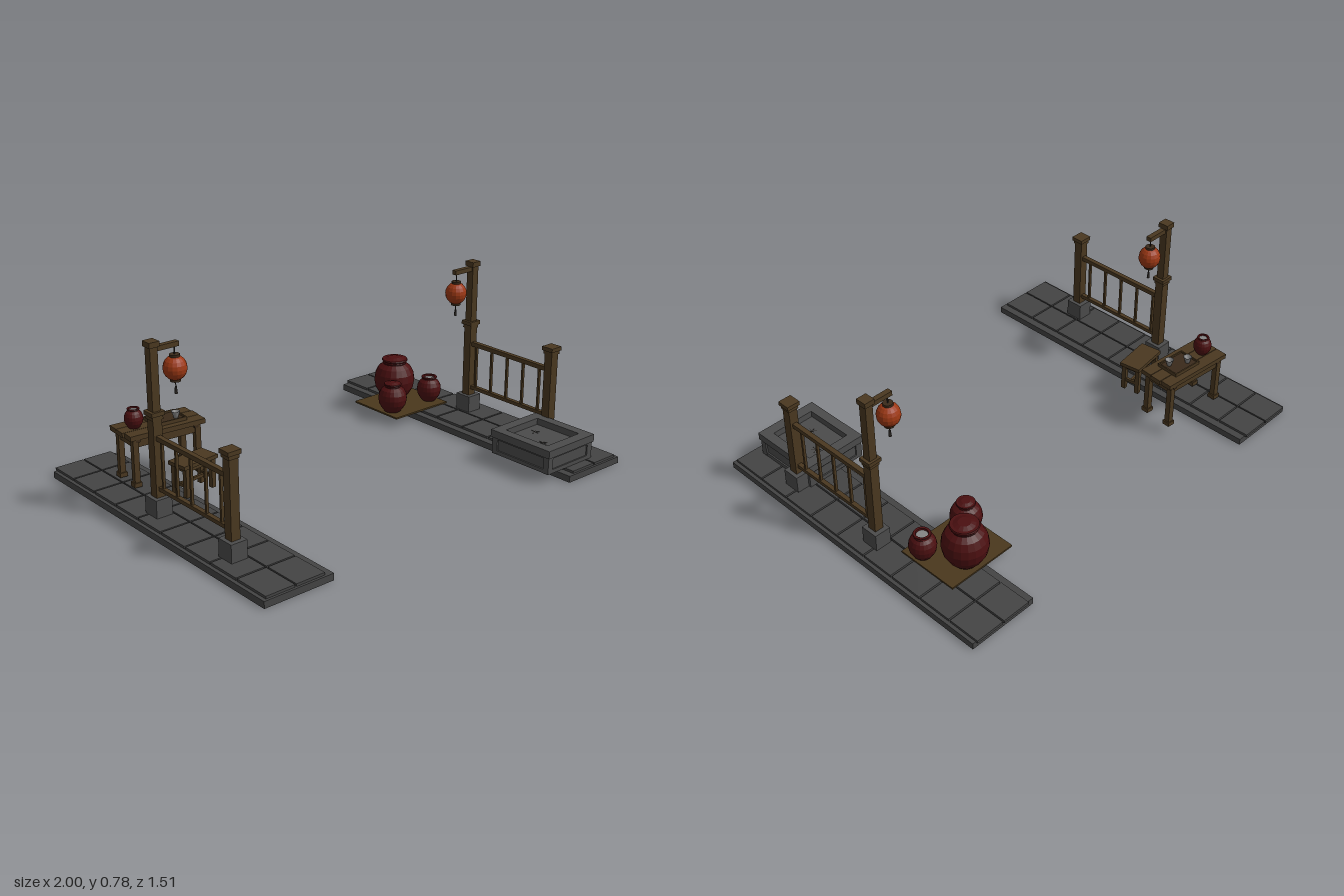
import * as THREE from 'three';

const mat = (name, color, flatShading = false) => {
  const m = new THREE.MeshStandardMaterial({ color, flatShading });
  m.name = name;
  return m;
};

export function createModel() {
  const wood = mat('wood', 0x4a3820);
  const darkWood = mat('darkWood', 0x3a2a1a);
  const tile = mat('tileStone', 0x444444);
  const stone = mat('carvedStone', 0x4b4b4b);
  const glaze = mat('redGlaze', 0x4a0f10, true);
  const paper = mat('lanternPaper', 0x9c3814, true);
  const straw = mat('strawMat', 0x4a381c);
  const pale = mat('paleGrey', 0x858585);
  const iron = mat('darkIron', 0x2a2622);
  pale.side = glaze.side = THREE.DoubleSide;

  const model = new THREE.Group();
  model.name = 'courtyard';

  const group = (parent, name, x = 0, y = 0, z = 0, ry = 0) => {
    const g = new THREE.Group();
    g.name = name;
    g.position.set(x, y, z);
    g.rotation.y = ry;
    parent.add(g);
    return g;
  };
  const add = (parent, name, geo, m, x, y, z) => {
    const mesh = new THREE.Mesh(geo, m);
    mesh.name = name;
    mesh.position.set(x, y, z);
    parent.add(mesh);
    return mesh;
  };
  // box spanning y0..y1
  const box = (parent, name, m, w, d, y0, y1, x = 0, z = 0) =>
    add(parent, name, new THREE.BoxGeometry(w, y1 - y0, d), m, x, (y0 + y1) / 2, z);
  const cyl = (parent, name, m, r0, r1, y0, y1, x = 0, z = 0, n = 10) =>
    add(parent, name, new THREE.CylinderGeometry(r1, r0, y1 - y0, n), m, x, (y0 + y1) / 2, z);
  const lathe = (parent, name, m, pts, n = 18) =>
    add(parent, name, new THREE.LatheGeometry(pts.map(p => new THREE.Vector2(...p)), n), m, 0, 0, 0);

  // paved walkway: base slab with two columns of tiles
  function walkway(s) {
    const g = group(model, 'walkway');
    box(g, 'baseSlab', tile, 0.33, 1.5, 0, 0.03, s * 0.835, 0.007);
    for (let i = 0; i < 9; i++) {
      const z0 = i ? -0.765 + 0.1668 * i : -0.757;
      const z1 = i === 8 ? 0.75 : -0.765 + 0.1668 * (i + 1);
      for (const x of [0.773, 0.916])
        box(g, 'pavingTile', tile, 0.136, z1 - z0 - 0.008, 0.028, 0.041, s * x, (z0 + z1) / 2);
    }
  }

  // railing between a short post and a tall lantern post
  function railing(s) {
    const g = group(model, 'railing', s * 0.893, 0, 0);
    const zs = 0.427, zt = -0.077;
    for (const z of [zs, zt]) {
      box(g, 'postFooting', stone, 0.076, 0.083, 0.04, 0.12, 0, z);
      box(g, 'post', wood, 0.042, 0.042, 0.12, 0.47, 0, z);
      box(g, 'postCollar', wood, 0.05, 0.05, 0.455, 0.472, 0, z);
      box(g, 'postCap', wood, 0.062, 0.06, 0.472, 0.49, 0, z);
    }
    box(g, 'upperPost', wood, 0.036, 0.037, 0.49, 0.757, 0, zt);
    box(g, 'upperCap', wood, 0.048, 0.05, 0.757, 0.78, 0, zt);
    box(g, 'topRail', wood, 0.022, 0.48, 0.368, 0.388, 0, 0.175);
    box(g, 'bottomRail', wood, 0.02, 0.48, 0.15, 0.167, 0, 0.175);
    for (let i = 0; i < 5; i++)
      box(g, 'baluster', wood, 0.012, 0.01, 0.167, 0.368, 0, 0.362 - i * 0.0985);
    box(g, 'lanternArm', wood, 0.105, 0.024, 0.735, 0.756, -s * 0.07, zt);

    // hanging lantern
    const l = group(g, 'lantern', -s * 0.107, 0.645, zt);
    const body = add(l, 'lanternBody', new THREE.SphereGeometry(0.05, 16, 10), paper, 0, 0, 0);
    body.scale.y = 1.06;
    for (const t of [-1, 1])
      cyl(l, 'lanternRim', darkWood, 0.022, 0.022, t * 0.051 - 0.006, t * 0.051 + 0.006);
    cyl(l, 'cord', iron, 0.003, 0.003, 0.05, 0.092, 0, 0, 6);
    cyl(l, 'tasselCord', iron, 0.002, 0.002, -0.09, -0.05, 0, 0, 6);
    cyl(l, 'tassel', iron, 0.007, 0.004, -0.11, -0.08, 0, 0, 6);
  }
  for (const s of [-1, 1]) {
    walkway(s);
    railing(s);
  }

  // four-legged frame shared by the table and the stool
  function legs(g, x, z, w, y0, y1, foot) {
    for (const sx of [-1, 1]) for (const sz of [-1, 1]) {
      box(g, 'leg', wood, w, w, y0, y1, sx * x, sz * z);
      if (foot) box(g, 'legFoot', wood, w + 0.01, w + 0.01, y0, y0 + 0.02, sx * x, sz * z);
    }
  }

  // table with a plank top
  const table = group(model, 'table', -0.672, 0, -0.4, -0.08);
  [0.364, 0.37, 0.36].forEach((w, i) =>
    box(table, 'tablePlank', wood, w, 0.055, 0.262, 0.284, (i - 1) * 0.003, (i - 1) * 0.058));
  for (const s of [-1, 1]) {
    box(table, 'endBatten', darkWood, 0.02, 0.165, 0.25, 0.264, s * 0.14, 0);
    box(table, 'longApron', wood, 0.3, 0.014, 0.225, 0.262, 0, s * 0.066);
    box(table, 'shortApron', wood, 0.014, 0.13, 0.225, 0.262, s * 0.15, 0);
  }
  legs(table, 0.15, 0.066, 0.026, 0.048, 0.262, true);

  // serving tray with two cups
  const tray = group(table, 'tray', 0.036, 0.284, 0);
  box(tray, 'trayBase', darkWood, 0.145, 0.105, 0, 0.008);
  for (const s of [-1, 1]) {
    box(tray, 'trayLongEdge', wood, 0.15, 0.006, 0, 0.016, 0, s * 0.052);
    box(tray, 'trayShortEdge', wood, 0.006, 0.105, 0, 0.016, s * 0.072, 0);
  }
  for (const [x, z] of [[-0.037, -0.018], [0.04, 0.021]]) {
    const cup = group(tray, 'cup', x, 0.008, z);
    lathe(cup, 'cupBowl', pale,
      [[0, 0], [0.01, 0], [0.012, 0.01], [0.02, 0.03], [0.017, 0.03], [0.009, 0.012], [0, 0.011]], 12);
  }

  // stool
  const stool = group(model, 'stool', -0.662, 0, -0.16, 0.13);
  box(stool, 'stoolSeat', wood, 0.187, 0.102, 0.178, 0.195);
  for (const s of [-1, 1]) {
    box(stool, 'longApron', wood, 0.14, 0.01, 0.16, 0.178, 0, s * 0.036);
    box(stool, 'shortApron', wood, 0.01, 0.07, 0.16, 0.178, s * 0.072, 0);
    box(stool, 'sideStretcher', wood, 0.012, 0.07, 0.09, 0.105, s * 0.072, 0);
  }
  box(stool, 'middleStretcher', wood, 0.14, 0.012, 0.092, 0.106);
  legs(stool, 0.072, 0.036, 0.021, 0.048, 0.178, false);

  // glazed jar; covered ones get a cloth top tied around the neck
  function jar(parent, name, x, y, z, r, h, neck, covered) {
    const g = group(parent, name, x, y, z);
    const rim = covered ? neck * 1.15 : neck * 1.1;
    lathe(g, 'jarBody', glaze, [[0, 0], [r * 0.55, 0], [r * 0.72, h * 0.1], [r * 0.93, h * 0.28],
      [r, h * 0.47], [r * 0.95, h * 0.64], [r * 0.8, h * 0.79], [neck, h * 0.88],
      [neck * 0.95, h * 0.93], [rim, h * 0.97], [rim * 0.95, h], [neck * 0.75, h], [neck * 0.7, h * 0.9]], 20);
    if (covered) {
      cyl(g, 'clothCover', glaze, rim, neck * 0.5, h * 0.97, h * 1.04, 0, 0, 14);
      const cord = add(g, 'neckCord', new THREE.TorusGeometry(neck, neck * 0.07, 6, 20), glaze, 0, h * 0.91, 0);
      cord.rotation.x = Math.PI / 2;
    } else {
      cyl(g, 'jarContents', pale, neck * 0.72, neck * 0.72, h * 0.9, h * 0.93, 0, 0, 16);
    }
  }
  jar(table, 'tableJug', -0.112, 0.284, -0.004, 0.041, 0.087, 0.025, false);

  // jars on a straw mat
  const storage = group(model, 'jarStorage');
  box(storage, 'strawMat', straw, 0.335, 0.297, 0.04, 0.048, 0.698, -0.344);
  jar(storage, 'largeJar', 0.72, 0.048, -0.417, 0.099, 0.2, 0.055, true);
  jar(storage, 'mediumJar', 0.585, 0.048, -0.283, 0.069, 0.14, 0.037, true);
  jar(storage, 'smallJar', 0.82, 0.048, -0.275, 0.059, 0.122, 0.035, false);

  // stone trough with a sunken basin and framed sides
  const trough = group(model, 'trough', 0.73, 0, 0.538, 0.012);
  box(trough, 'troughBody', stone, 0.275, 0.315, 0.042, 0.125);
  const outline = new THREE.Shape([[-0.15, -0.17], [0.15, -0.17], [0.15, 0.17], [-0.15, 0.17]]
    .map(p => new THREE.Vector2(...p)));
  outline.holes.push(new THREE.Path([[-0.105, -0.12], [-0.105, 0.12], [0.105, 0.12], [0.105, -0.12]]
    .map(p => new THREE.Vector2(...p))));
  const rim = add(trough, 'troughRim',
    new THREE.ExtrudeGeometry(outline, { depth: 0.035, bevelEnabled: false }), stone, 0, 0.12, 0);
  rim.rotation.x = -Math.PI / 2;
  for (const s of [-1, 1]) {
    for (const [y0, y1] of [[0.042, 0.06], [0.112, 0.122]]) {
      box(trough, 'frameRail', stone, 0.287, 0.008, y0, y1, 0, s * 0.16);
      box(trough, 'frameRail', stone, 0.008, 0.32, y0, y1, s * 0.14, 0);
    }
    for (const t of [-1, 1])
      box(trough, 'frameCorner', stone, 0.03, 0.03, 0.042, 0.122, s * 0.13, t * 0.149);
  }
  // fine cracks in the basin floor
  for (const [x, z] of [[0.03, -0.07], [-0.04, 0.04]]) {
    for (let i = 0; i < 3; i++) {
      const c = box(trough, 'crack', iron, 0.045, 0.002, 0.124, 0.126, x, z);
      c.rotation.y = 0.4 + i * 1.0;
    }
  }
  return model;
}
